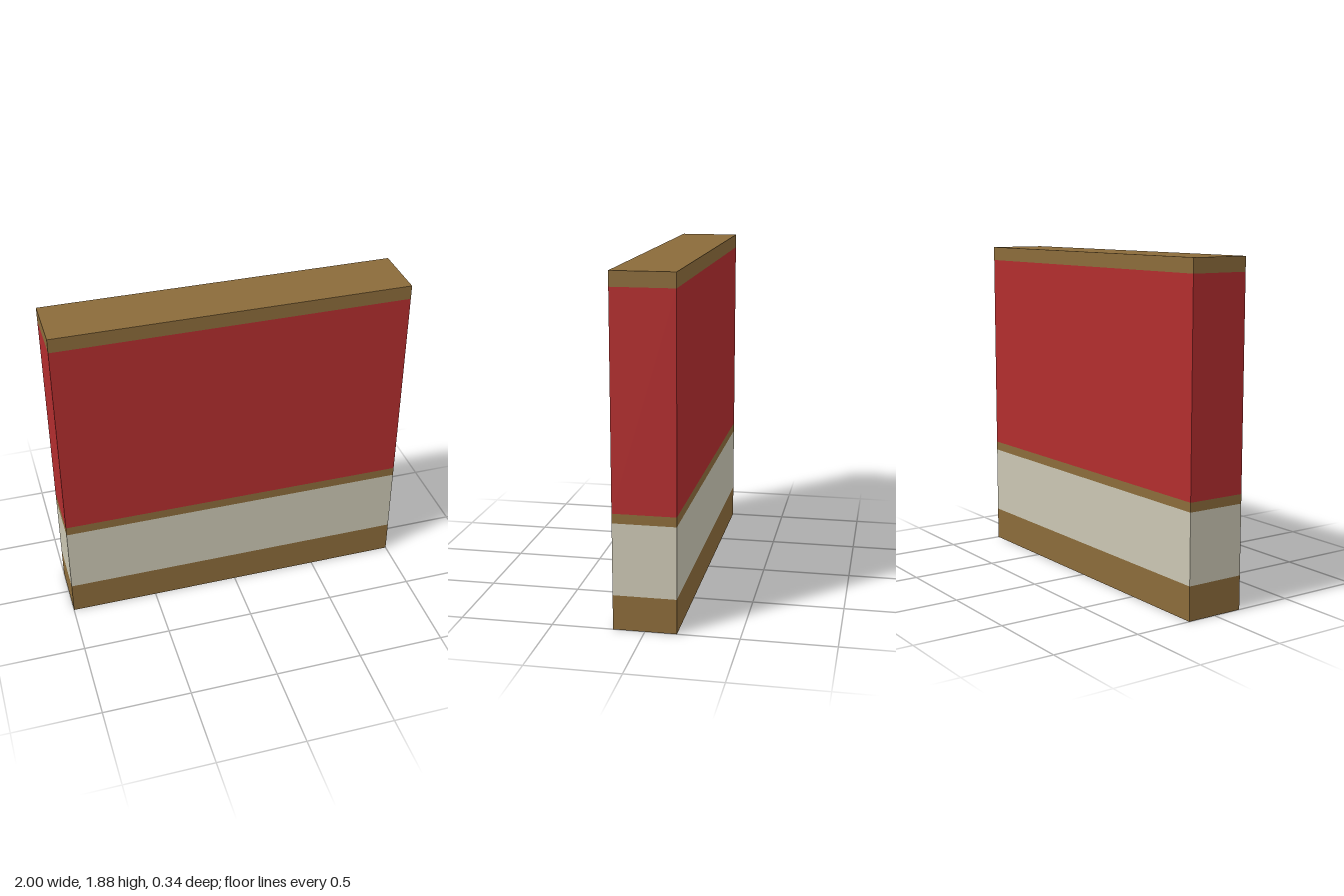
import * as THREE from 'three';

const WIDTH = 2, DEPTH = 0.34;

// Box band that keeps only its outside faces (no caps hidden between bands)
function bandGeometry(height, hasTop, hasBottom) {
  const geometry = new THREE.BoxGeometry(WIDTH, height, DEPTH);
  const index = Array.from(geometry.index.array);
  // face order: +x, -x, +y, -y, +z, -z with six indices each
  geometry.setIndex(index.filter((_, i) => {
    const face = Math.floor(i / 6);
    return (face !== 2 || hasTop) && (face !== 3 || hasBottom);
  }));
  geometry.clearGroups();
  return geometry;
}

export function createModel() {
  const wood = new THREE.MeshStandardMaterial({ name: 'brown wood', color: 0x8b6b3a });
  const cream = new THREE.MeshStandardMaterial({ name: 'cream panel', color: 0xcac6b3 });
  const red = new THREE.MeshStandardMaterial({ name: 'red wall', color: 0xb22d2e });

  // Wall bands from the floor up: name, bottom, top, material
  const bands = [
    ['baseboard', 0, 0.19, wood],
    ['wainscotPanel', 0.19, 0.582, cream],
    ['chairRail', 0.582, 0.634, wood],
    ['upperWall', 0.634, 1.796, red],
    ['topTrim', 1.796, 1.876, wood],
  ];

  const wall = new THREE.Group();
  wall.name = 'wallSegment';
  bands.forEach(([name, bottom, top, material], i) => {
    const geometry = bandGeometry(top - bottom, i === bands.length - 1, i === 0);
    const mesh = new THREE.Mesh(geometry, material);
    mesh.name = name;
    mesh.position.y = (bottom + top) / 2;
    wall.add(mesh);
  });
  return wall;
}
